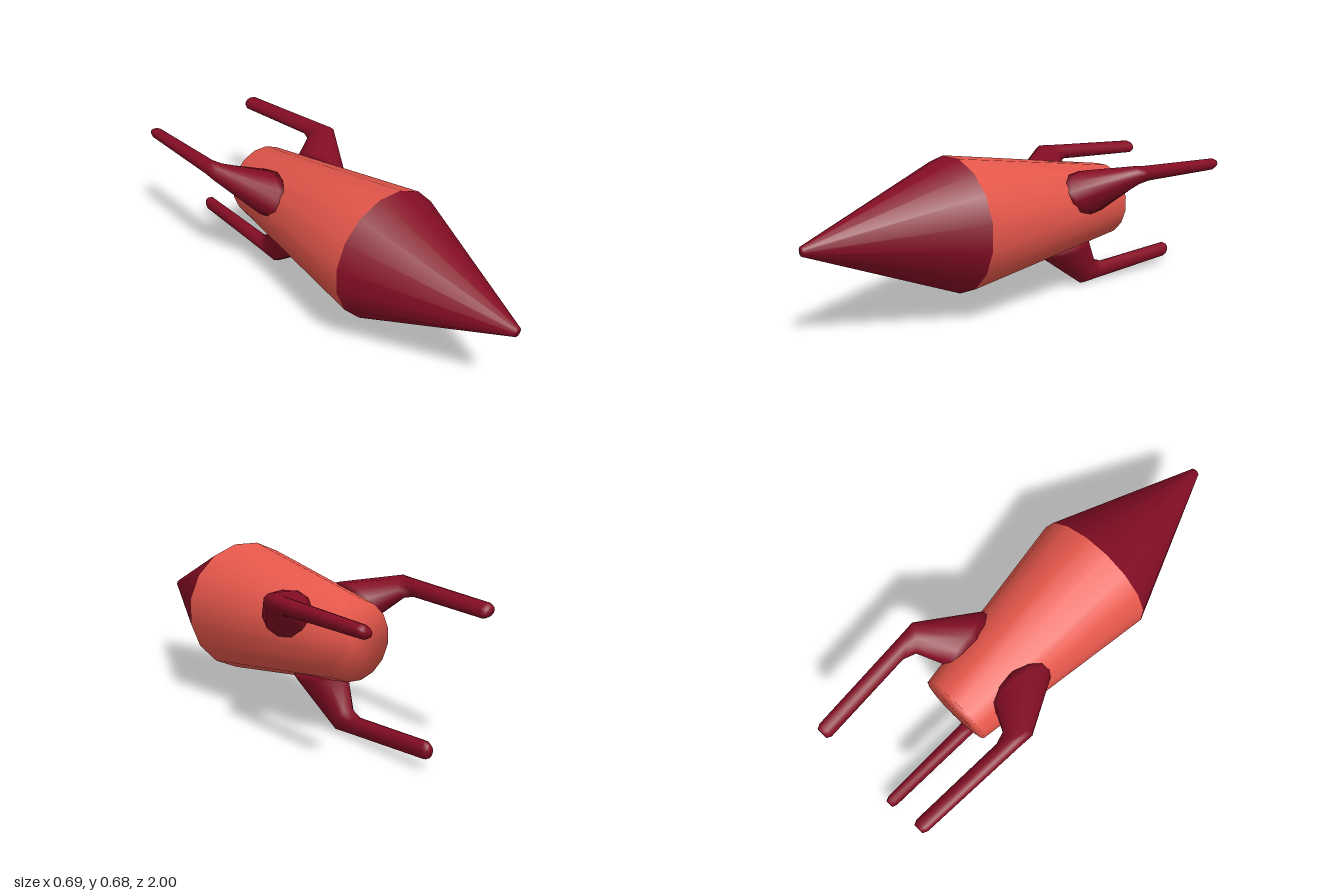
import * as THREE from 'three';

const CENTER_X = -0.007, CENTER_Y = 0.4, SIDES = 16;

// Revolve a [radius, z] profile around the long axis, flats facing up, down and sideways
function revolve(profile, material, name) {
  const points = profile.map(([r, z]) => new THREE.Vector2(r, z));
  const geometry = new THREE.LatheGeometry(points, SIDES, Math.PI / SIDES);
  geometry.rotateX(Math.PI / 2);
  const mesh = new THREE.Mesh(geometry, material);
  mesh.name = name;
  return mesh;
}

// Leg hanging down from the axis: oval sections, each given by its
// outer and inner edge (distance from axis, z) and its half width
function legGeometry() {
  const sections = [
    [0.17, -0.30, 0.17, -0.30, 0],
    [0.20, -0.145, 0.15, -0.45, 0.1],
    [0.225, -0.18, 0.185, -0.455, 0.092],
    [0.395, -0.43, 0.29, -0.505, 0.041],
    [0.39, -0.49, 0.31, -0.56, 0.034],
    [0.356, -0.98, 0.285, -0.98, 0.026],
    [0.346, -1.0, 0.295, -1.0, 0.018],
    [0.32, -1.0, 0.32, -1.0, 0],
  ];
  const n = 12, positions = [], index = [];
  sections.forEach(([ro, zo, ri, zi, w], s) => {
    for (let j = 0; j < n; j++) {
      const a = (j / n) * Math.PI * 2, t = (1 + Math.cos(a)) / 2;
      positions.push(w * Math.sin(a), -(ri + (ro - ri) * t), zi + (zo - zi) * t);
      if (s === sections.length - 1) continue;
      const p = s * n + j, q = s * n + (j + 1) % n;
      index.push(p, p + n, q, q, p + n, q + n);
    }
  });
  const geometry = new THREE.BufferGeometry();
  geometry.setAttribute('position', new THREE.Float32BufferAttribute(positions, 3));
  geometry.setIndex(index);
  geometry.computeVertexNormals();
  return geometry;
}

export function createModel() {
  const coral = new THREE.MeshStandardMaterial({ color: 0xe8584c });
  coral.name = 'coral';
  const crimson = new THREE.MeshStandardMaterial({ color: 0x850d24 });
  crimson.name = 'crimson';

  const rocket = new THREE.Group();
  rocket.name = 'rocket';
  rocket.position.set(CENTER_X, CENTER_Y, 0);

  // Tapered hull with closed tail, and the pointed nose
  rocket.add(revolve([[0, -0.545], [0.166, -0.545], [0.292, 0.31]], coral, 'hull'));
  rocket.add(revolve([[0.292, 0.31], [0.02, 1], [0, 1]], crimson, 'noseCone'));

  // Three bent legs spaced evenly around the tail
  const geometry = legGeometry();
  ['lowerLeg', 'leftLeg', 'rightLeg'].forEach((name, i) => {
    const leg = new THREE.Mesh(geometry, crimson);
    leg.name = name;
    leg.rotation.z = -0.026 + i * Math.PI * 2 / 3;
    rocket.add(leg);
  });

  const model = new THREE.Group();
  model.add(rocket);
  return model;
}
